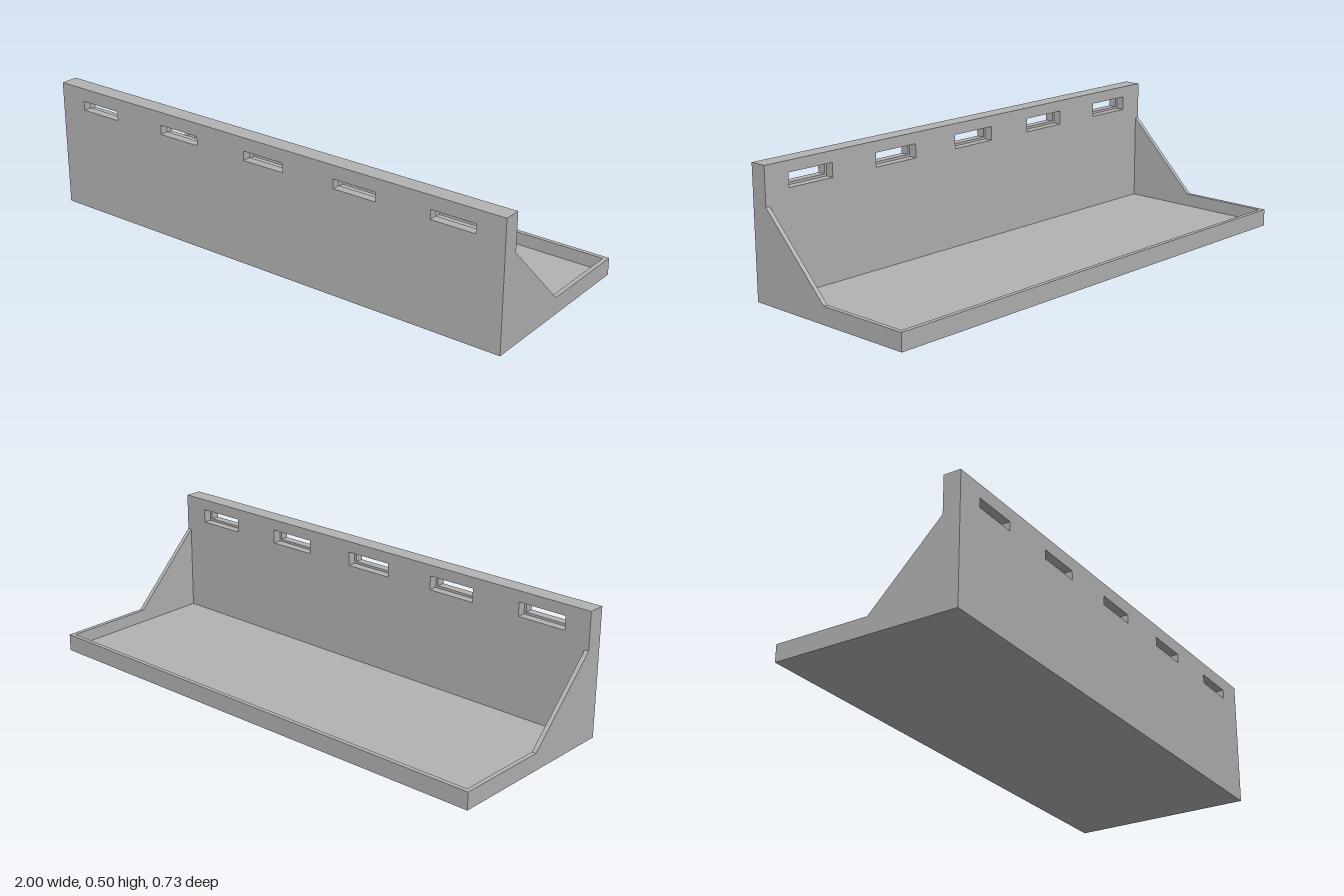
import * as THREE from 'three';

const W = 2, H = 0.5, D = 0.733;     // overall size
const WALL = 0.017, LIP = 0.067;     // tray wall thickness and height
const FRONT = D / 2, INNER = 0.299;  // panel's two faces along z
const SLOT_Y = 0.43, SLOT_X = [-0.8, -0.4, 0, 0.4, 0.8];

function rectPoints(cx, cy, w, h) {
  return [[-1, -1], [1, -1], [1, 1], [-1, 1]]
    .map(([sx, sy]) => new THREE.Vector2(cx + sx * w / 2, cy + sy * h / 2));
}

export function createModel() {
  const model = new THREE.Group();
  model.name = 'slottedTray';
  const grey = new THREE.MeshStandardMaterial({ color: 0xb2b2b2 });
  grey.name = 'plain grey';

  const add = (name, geometry, x = 0, y = 0, z = 0) => {
    const mesh = new THREE.Mesh(geometry, grey);
    mesh.name = name;
    mesh.position.set(x, y, z);
    model.add(mesh);
    return mesh;
  };

  // Upright panel: two layers, so each slot is wider on the tray side
  const panelLayer = (name, slotW, slotH, z0, z1) => {
    const shape = new THREE.Shape(rectPoints(0, H / 2, W, H));
    for (const x of SLOT_X) shape.holes.push(new THREE.Path(rectPoints(x, SLOT_Y, slotW, slotH)));
    add(name, new THREE.ExtrudeGeometry(shape, { depth: z1 - z0, bevelEnabled: false }), 0, 0, z0);
  };
  const mid = (FRONT + INNER) / 2;
  panelLayer('panelFront', 0.178, 0.036, mid, FRONT);
  panelLayer('panelInner', 0.196, 0.054, INNER, mid);

  // Tray floor and rear lip
  const len = INNER + D / 2;
  add('trayFloor', new THREE.BoxGeometry(W - 2 * WALL, WALL, len - WALL),
    0, WALL / 2, (INNER - D / 2 + WALL) / 2);
  add('rearLip', new THREE.BoxGeometry(W - 2 * WALL, LIP, WALL), 0, LIP / 2, -D / 2 + WALL / 2);

  // Side walls: low lip rising to a sloped brace against the panel
  const side = new THREE.Shape([
    [-INNER, 0], [D / 2, 0], [D / 2, LIP], [-0.012, LIP], [-INNER, 0.353],
  ].map(([u, y]) => new THREE.Vector2(u, y)));
  const sideGeometry = new THREE.ExtrudeGeometry(side, { depth: WALL, bevelEnabled: false });
  sideGeometry.rotateY(Math.PI / 2);   // shape u becomes -z, depth becomes +x
  add('leftSide', sideGeometry, W / 2 - WALL);
  add('rightSide', sideGeometry, -W / 2);

  return model;
}
